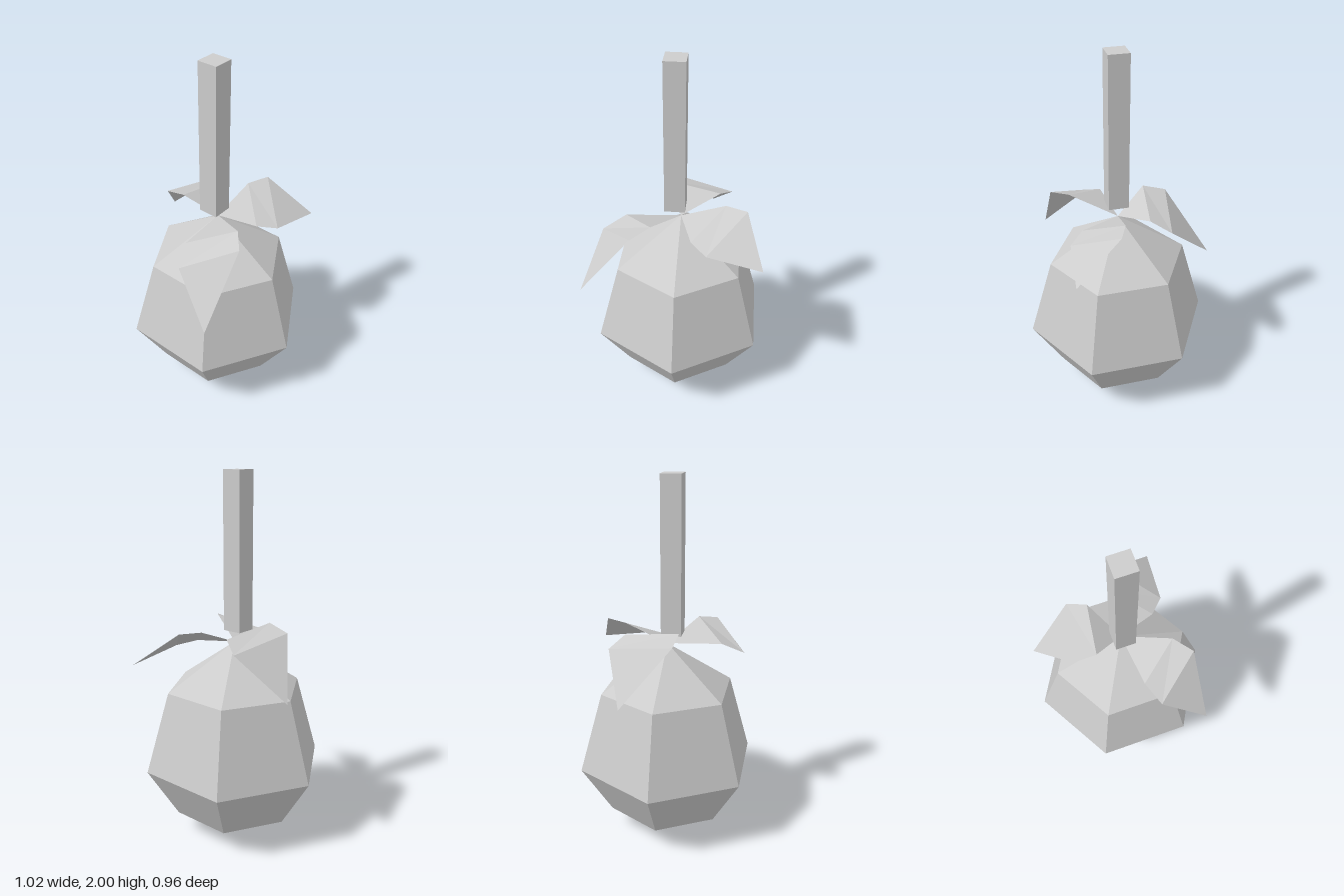
import * as THREE from 'three';

const grey = new THREE.MeshStandardMaterial({ color: 0xcccccc, flatShading: true, side: THREE.DoubleSide });
grey.name = 'grey';

function addPart(group, name, geometry, x = 0, y = 0, z = 0) {
  const mesh = new THREE.Mesh(geometry, grey);
  mesh.name = name;
  mesh.position.set(x, y, z);
  group.add(mesh);
}

// Folded leaf: root, near right/left, far right/left, tip
function leafGeometry(points) {
  const geometry = new THREE.BufferGeometry();
  geometry.setAttribute('position', new THREE.Float32BufferAttribute(points.flat(), 3));
  geometry.setIndex([0, 1, 2, 1, 3, 2, 3, 4, 2, 3, 5, 4]);
  const flat = geometry.toNonIndexed();
  flat.computeVertexNormals();
  return flat;
}

export function createModel() {
  const group = new THREE.Group();
  group.name = 'hangingFruit';

  // Six-sided fruit, pointed at both ends
  const profile = [[0, 0], [0.34, 0.12], [0.51, 0.4], [0.38, 0.845], [0, 1.1]]
    .map(([r, y]) => new THREE.Vector2(r, y));
  const body = new THREE.LatheGeometry(profile, 6, Math.PI / 2).toNonIndexed();
  body.computeVertexNormals();
  addPart(group, 'fruitBody', body, 0, 0, -0.03);

  // Square stem
  addPart(group, 'stem', new THREE.BoxGeometry(0.11, 0.84, 0.11), 0, 1.58, 0);

  // Three leaves drooping from the top of the fruit
  const root = [0, 1.1, -0.03];
  const leaves = {
    frontLeaf: [[0.03, 1.105, 0.265], [0.24, 1.19, 0.105], [0.085, 1.042, 0.385], [0.325, 1.165, 0.2], [0.33, 0.81, 0.477]],
    backLeaf: [[0.21, 1.085, -0.1], [0.02, 1.195, -0.27], [0.29, 1.06, -0.185], [0.07, 1.2, -0.385], [0.32, 1.01, -0.48]],
    sideLeaf: [[-0.12, 1.175, -0.235], [-0.165, 1.213, 0.065], [-0.22, 1.125, -0.298], [-0.29, 1.178, 0.055], [-0.47, 0.895, -0.185]],
  };
  for (const [name, points] of Object.entries(leaves)) {
    addPart(group, name, leafGeometry([root, ...points]));
  }
  return group;
}
